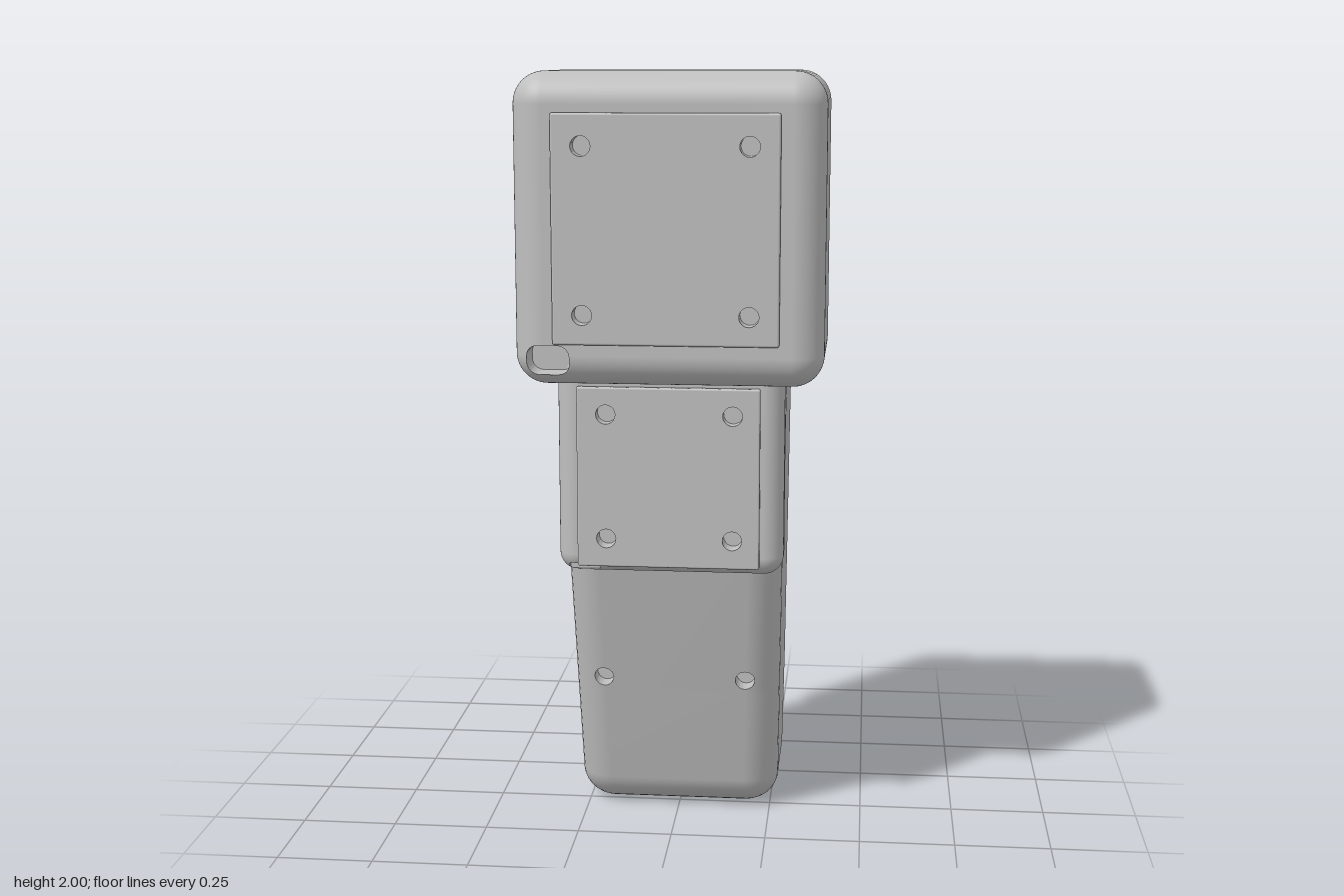
import * as THREE from 'three';
import { RoundedBoxGeometry } from 'three/addons/geometries/RoundedBoxGeometry.js';

const V = (x, y, z) => new THREE.Vector3(x, y, z);

// Frames for cutting: w points out of the body, u x v = w
const FRONT = { u: V(1, 0, 0), v: V(0, 1, 0), w: V(0, 0, 1) };
const BACK = { u: V(-1, 0, 0), v: V(0, 1, 0), w: V(0, 0, -1) };
const BELOW = { u: V(1, 0, 0), v: V(0, 0, 1), w: V(0, -1, 0) };

// Counter-clockwise rounded rectangle
function roundedRect(hw, hh, r, seg = 6) {
  const pts = [];
  for (let c = 0; c < 4; c++) {
    const sx = c === 0 || c === 3 ? 1 : -1, sy = c < 2 ? 1 : -1;
    for (let i = 0; i <= seg; i++) {
      const a = (c + i / seg) * Math.PI / 2;
      pts.push([sx * (hw - r) + r * Math.cos(a), sy * (hh - r) + r * Math.sin(a)]);
    }
  }
  return pts;
}

function circle(r, n = 20) {
  return Array.from({ length: n }, (_, i) => {
    const a = i / n * Math.PI * 2;
    return [r * Math.cos(a), r * Math.sin(a)];
  });
}

// A cut is a convex outline pushed in from one side down to a floor point
const cut = (frame, floor, outline) => ({ frame, floor, outline });

// Split a polygon by a plane: [part in front, part behind]
function split(poly, n, d) {
  const front = [], behind = [];
  poly.forEach((a, i) => {
    const b = poly[(i + 1) % poly.length];
    const da = a.p.dot(n) - d, db = b.p.dot(n) - d;
    (da > 0 ? front : behind).push(a);
    if (da > 0 !== db > 0) {
      const t = da / (da - db);
      const m = { p: a.p.clone().lerp(b.p, t), n: a.n.clone().lerp(b.n, t).normalize() };
      front.push(m);
      behind.push(m);
    }
  });
  return [front, behind];
}

// Sink holes into a convex body, adding walls and a floor to each
function carve(geo, cuts) {
  const flat = geo.index ? geo.toNonIndexed() : geo;
  const P = flat.attributes.position, N = flat.attributes.normal;
  const host = new THREE.Mesh(flat);
  let polys = [];
  for (let i = 0; i < P.count; i += 3) {
    polys.push([0, 1, 2].map(k => ({
      p: V(0, 0, 0).fromBufferAttribute(P, i + k), n: V(0, 0, 0).fromBufferAttribute(N, i + k),
    })));
  }
  const linings = [];
  for (const { frame: { u, v, w }, floor, outline } of cuts) {
    const base = outline.map(([a, b]) => floor.clone().addScaledVector(u, a).addScaledVector(v, b));
    const planes = base.map((p, i) => {
      const n = base[(i + 1) % base.length].clone().sub(p).cross(w).normalize();
      return [n, n.dot(p)];
    });
    planes.push([w.clone().negate(), -w.dot(floor)]);
    const next = [];
    for (const poly of polys) {
      let rest = poly;
      const kept = [];
      for (const [n, d] of planes) {
        const [out, inside] = split(rest, n, d);
        if (out.length > 2) kept.push(out);
        rest = inside;
        if (rest.length < 3) break;
      }
      if (rest.length < 3) next.push(poly);
      else next.push(...kept);
    }
    polys = next;
    const rim = base.map(p => {
      const ray = new THREE.Raycaster(p.clone().addScaledVector(w, 3), w.clone().negate());
      const hit = ray.intersectObject(host)[0];
      return hit ? hit.point : p;
    });
    base.forEach((p, i) => {
      const j = (i + 1) % base.length, inward = planes[i][0].clone().negate();
      linings.push([rim[i], rim[j], base[j], p].map(q => ({ p: q, n: inward })));
      linings.push([floor, p, base[j]].map(q => ({ p: q, n: w })));
    });
  }
  const pos = [], nor = [];
  for (const poly of [...polys, ...linings]) {
    for (let i = 1; i < poly.length - 1; i++) {
      for (const c of [poly[0], poly[i], poly[i + 1]]) {
        pos.push(c.p.x, c.p.y, c.p.z);
        nor.push(c.n.x, c.n.y, c.n.z);
      }
    }
  }
  const out = new THREE.BufferGeometry();
  out.setAttribute('position', new THREE.Float32BufferAttribute(pos, 3));
  out.setAttribute('normal', new THREE.Float32BufferAttribute(nor, 3));
  return out;
}

// Rounded box given by its extents
function block([x0, x1], [y0, y1], [z0, z1], r, seg = 6) {
  return new RoundedBoxGeometry(x1 - x0, y1 - y0, z1 - z0, seg, r)
    .translate((x0 + x1) / 2, (y0 + y1) / 2, (z0 + z1) / 2);
}

// Leaning grip lofted from level rounded sections, with rounded ends
function gripGeometry() {
  const top = 1.29, r = 0.085, R = 0.09, steps = 8;
  const levels = [];
  for (let i = 0; i <= steps; i++) {
    const a = i / steps * Math.PI / 2;
    levels.push([r * (1 - Math.cos(a)), r * (1 - Math.sin(a))]);
  }
  const upper = levels.map(([y, inset]) => [top - y, inset]).reverse();
  levels.push([0.35, 0], [0.37, 0], [0.88, 0], [0.9, 0], ...upper);
  const pos = [], idx = [];
  let n = 0;
  for (const [y, inset] of levels) {
    const zf = Math.min(0.24, 0.045 + 0.218 * y) - inset;
    const zb = -0.36 + Math.max(0, y - 0.36) * 0.186 + inset;
    const ring = roundedRect(0.27 + 0.018 * y - inset, (zf - zb) / 2, R - inset, 8);
    n = ring.length;
    for (const [x, z] of ring) pos.push(x, y, z + (zf + zb) / 2);
  }
  const last = (levels.length - 1) * n, c0 = levels.length * n;
  pos.push(0, 0, -0.16, 0, top, 0);
  for (let i = 0; i < n; i++) {
    const j = (i + 1) % n;
    for (let k = 0; k < last; k += n) idx.push(k + i, k + n + i, k + j, k + j, k + n + i, k + n + j);
    idx.push(c0, i, j, c0 + 1, last + j, last + i);
  }
  const g = new THREE.BufferGeometry();
  g.setAttribute('position', new THREE.Float32BufferAttribute(pos, 3));
  g.setIndex(idx);
  g.computeVertexNormals();
  return g;
}

export function createModel() {
  const group = new THREE.Group();
  const grey = new THREE.MeshStandardMaterial({ color: 0xbfbfbf });
  grey.name = 'plain grey';
  const add = (name, geo) => {
    const mesh = new THREE.Mesh(geo, grey);
    mesh.name = name;
    group.add(mesh);
  };
  const holes = (frame, xs, ys, z, r) =>
    xs.flatMap(x => ys.map(y => cut(frame, V(x, y, z), circle(r))));

  // Head with cover plate, cable notch and rear screw holes
  const headScrews = holes(FRONT, [-0.21, 0.205], [1.405, 1.82], 0.32, 0.025);
  add('head', carve(block([-0.39, 0.39], [1.22, 2], [-0.16, 0.35], 0.08, 8), [
    ...headScrews,
    ...holes(BACK, [-0.31, 0.31], [1.93], -0.11, 0.024),
    cut(FRONT, V(-0.3, 1.288, 0.25), roundedRect(0.055, 0.038, 0.03)),
  ]));
  add('headCover', carve(block([-0.285, 0.28], [1.33, 1.9], [0.349, 0.365], 0.006, 3), headScrews));

  // Middle housing with cover plate and cable slot
  const housingScrews = holes(FRONT, [-0.165, 0.16], [0.815, 1.14], 0.225, 0.025);
  add('housing', carve(block([-0.295, 0.29], [0.715, 1.3], [0.12, 0.255], 0.05), [
    ...housingScrews,
    cut(FRONT, V(-0.227, 0.73, 0.215), roundedRect(0.04, 0.011, 0.008)),
  ]));
  add('housingCover', carve(block([-0.24, 0.23], [0.74, 1.21], [0.257, 0.275], 0.005, 3), housingScrews));

  // Grip with screw holes, two rear ports and a socket underneath
  add('grip', carve(gripGeometry(), [
    ...holes(FRONT, [-0.193, 0.187], [0.395], 0.07, 0.026),
    ...holes(BACK, [-0.19, 0.19], [0.39], -0.28, 0.024),
    ...[0.085, 0.17].map(y => cut(BACK, V(0, y, -0.3), roundedRect(0.09, 0.019, 0.005))),
    cut(BELOW, V(0, 0.07, -0.16), circle(0.06, 28)),
  ]));
  return group;
}
